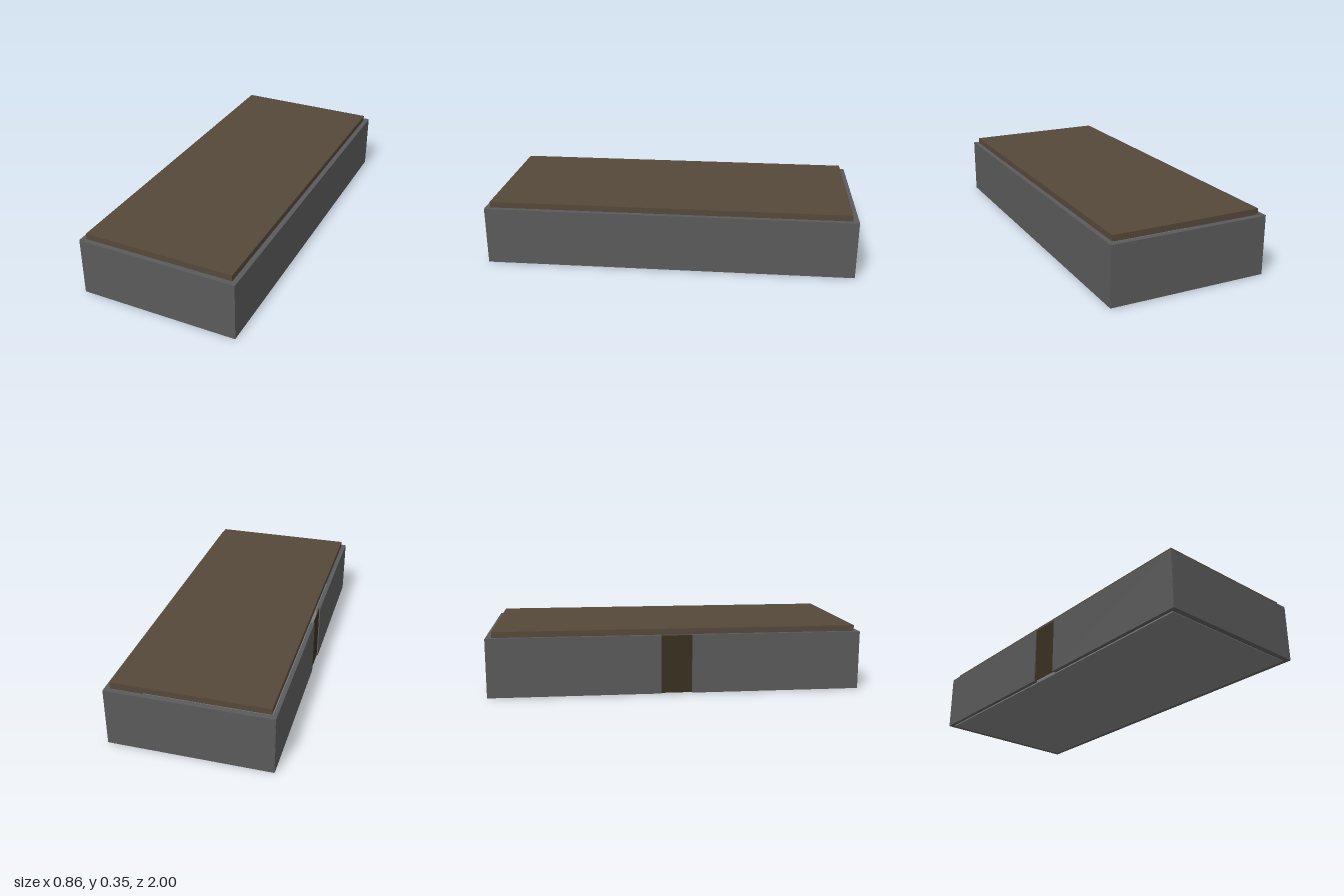
import * as THREE from 'three';

const material = (color) => new THREE.MeshStandardMaterial({ color });

export function createModel() {
  const model = new THREE.Group();
  model.name = 'liddedBox';
  const grey = material(0x5a5a5a);
  const wood = material(0x55483a);
  const darkWood = material(0x383020);
  const floorGrey = material(0x7a7a7a);

  // Box given by its lower and upper limits on each axis
  const addBox = (name, mat, [x0, x1], [y0, y1], [z0, z1]) => {
    const mesh = new THREE.Mesh(new THREE.BoxGeometry(x1 - x0, y1 - y0, z1 - z0), mat);
    mesh.position.set((x0 + x1) / 2, (y0 + y1) / 2, (z0 + z1) / 2);
    mesh.name = name;
    model.add(mesh);
  };

  // Base panel, a hair lower than the walls, and the raised lid
  addBox('basePanel', floorGrey, [-0.405, 0.405], [0, 0.03], [-0.97, 0.97]);
  addBox('lid', wood, [-0.405, 0.405], [0.318, 0.35], [-0.967, 0.973]);

  // End walls
  const height = [0.003, 0.318];
  addBox('frontWall', grey, [-0.428, 0.428], height, [0.97, 1]);
  addBox('backWall', grey, [-0.428, 0.428], height, [-1, -0.97]);

  // Long walls: one whole, one split by the doorway
  addBox('leftWall', grey, [0.405, 0.431], height, [-0.998, 0.998]);
  const splitHeight = [0.003, 0.32];
  addBox('rightWallFront', grey, [-0.431, -0.41], splitHeight, [0.083, 0.998]);
  addBox('rightWallBack', grey, [-0.431, -0.41], splitHeight, [-0.998, -0.083]);

  // Thin door panel set just behind the outer face
  addBox('door', darkWood, [-0.425, -0.422], [0.005, 0.317], [-0.083, 0.083]);

  return model;
}
